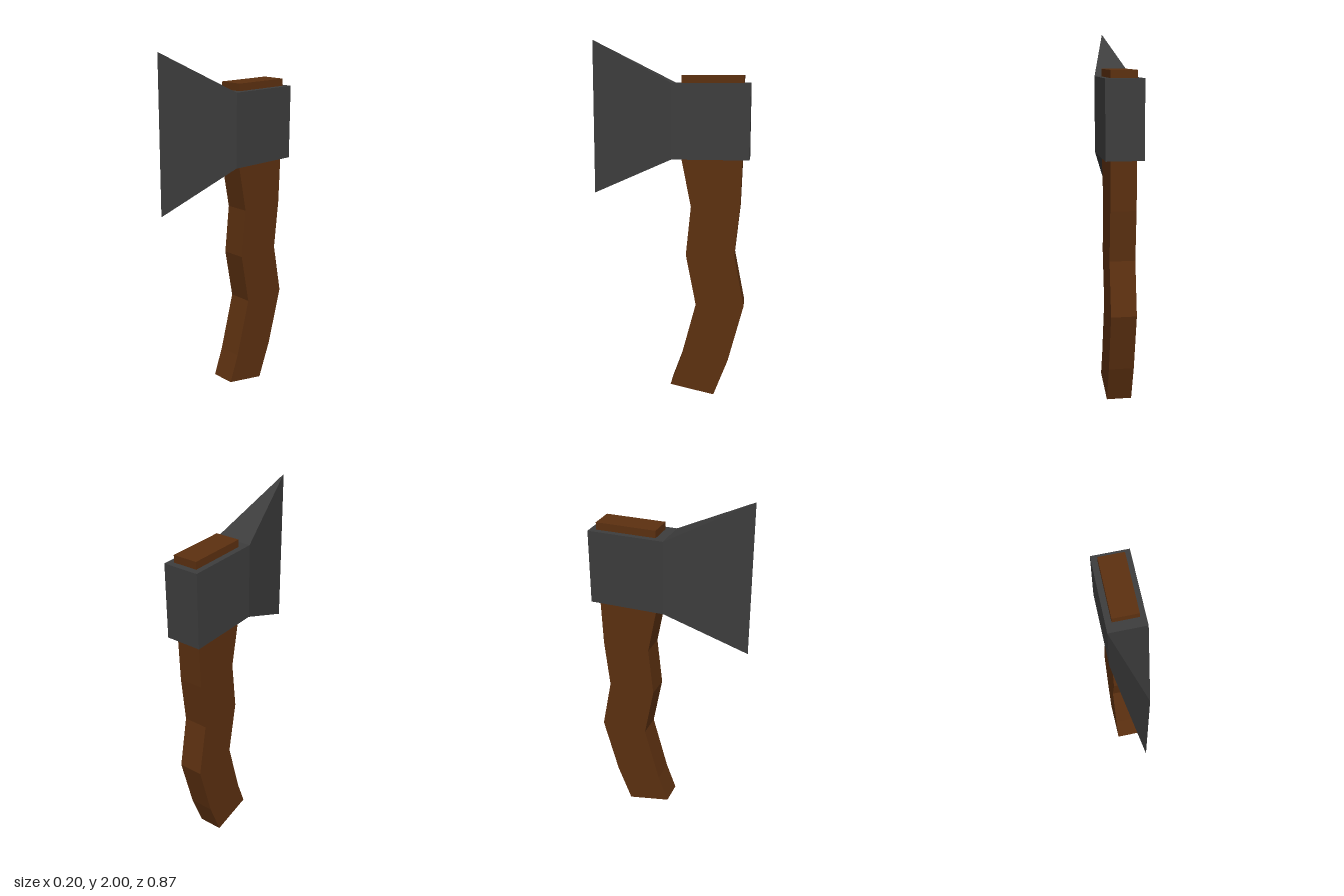
import * as THREE from 'three';

const metal = new THREE.MeshStandardMaterial({ color: 0x3d3d3d });
metal.name = 'dark steel';
const wood = new THREE.MeshStandardMaterial({ color: 0x5c3010 });
wood.name = 'brown wood';

// Joins rectangular sections [z, halfWidth, yBottom, yTop] running from back to front
function loft(sections) {
  const rings = sections.map(([z, w, y0, y1]) =>
    [[-w, y0, z], [w, y0, z], [w, y1, z], [-w, y1, z]].map(p => new THREE.Vector3(...p)));
  const points = [];
  const tri = (a, b, c) => {
    if (new THREE.Triangle(a, b, c).getArea() > 1e-6) points.push(a, b, c);
  };
  const quad = (a, b, c, d) => { tri(a, b, c); tri(a, c, d); };
  for (let i = 0; i < rings.length - 1; i++) {
    for (let j = 0; j < 4; j++) {
      const k = (j + 1) % 4;
      quad(rings[i][j], rings[i][k], rings[i + 1][k], rings[i + 1][j]);
    }
  }
  const first = rings[0], last = rings[rings.length - 1];
  quad(first[3], first[2], first[1], first[0]);
  quad(...last);
  const geo = new THREE.BufferGeometry().setFromPoints(points);
  geo.computeVertexNormals();
  return geo;
}

export function createModel() {
  const model = new THREE.Group();
  model.name = 'axe';

  // Curved handle: side profile as [z, y], up the front edge and down the back
  const front = [[-0.005, 0.052], [-0.062, 0.21], [-0.147, 0.535], [-0.09, 0.823], [-0.117, 1.095], [-0.064, 1.36], [-0.064, 1.81]];
  const back = [[-0.4, 1.81], [-0.397, 1.36], [-0.388, 1.095], [-0.36, 0.823], [-0.417, 0.535], [-0.332, 0.21], [-0.252, 0]];
  const profile = new THREE.Shape([...front, ...back].map(p => new THREE.Vector2(...p)));
  const thickness = 0.137;
  const handleGeo = new THREE.ExtrudeGeometry(profile, { depth: thickness, bevelEnabled: false });
  handleGeo.translate(0, 0, -thickness / 2).rotateY(-Math.PI / 2);
  const handle = new THREE.Mesh(handleGeo, wood);
  handle.name = 'handle';

  // Square poll widening into a sharp vertical cutting edge
  const head = new THREE.Mesh(loft([
    [-0.435, 0.1, 1.36, 1.77],
    [-0.012, 0.1, 1.36, 1.77],
    [0.435, 0, 1.155, 2],
  ]), metal);
  head.name = 'axeHead';

  model.add(handle, head);
  return model;
}
